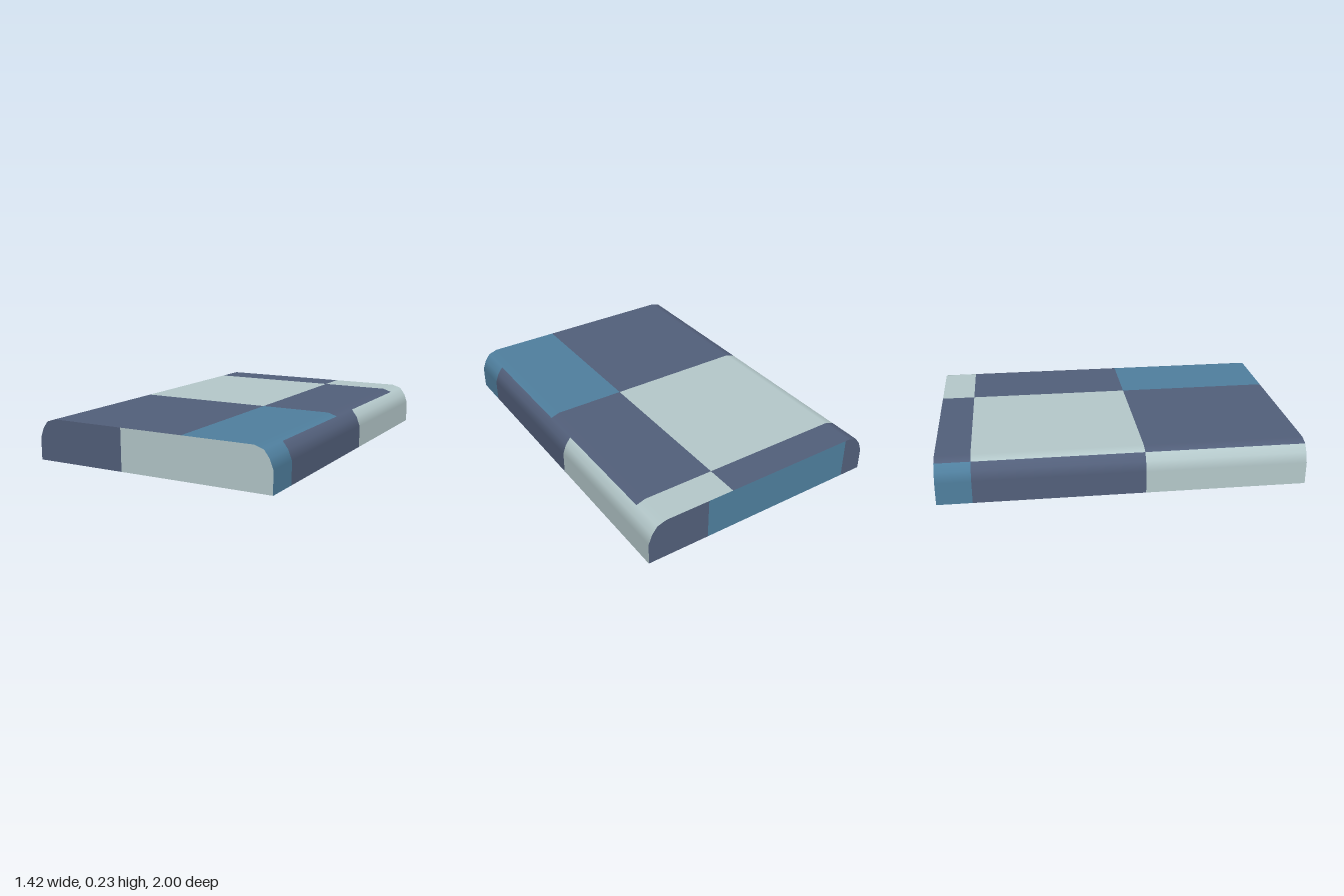
import * as THREE from 'three';

const H = 0.235; // slab height
const flat = (name, color) => {
  const m = new THREE.MeshStandardMaterial({ color });
  m.name = name;
  return m;
};

// Strip along z swept from cross-section points [x, y, normal angle in degrees]
function sweep(section, z0, z1) {
  const pos = [], nor = [], idx = [];
  section.forEach(([x, y, deg], i) => {
    const a = THREE.MathUtils.degToRad(deg);
    for (const z of [z0, z1]) {
      pos.push(x, y, z);
      nor.push(Math.cos(a), Math.sin(a), 0);
    }
    if (i > 0) {
      const k = (i - 1) * 2;
      idx.push(k, k + 2, k + 1, k + 1, k + 2, k + 3);
    }
  });
  const g = new THREE.BufferGeometry();
  g.setAttribute('position', new THREE.Float32BufferAttribute(pos, 3));
  g.setAttribute('normal', new THREE.Float32BufferAttribute(nor, 3));
  g.setIndex(idx);
  return g;
}

export function createModel() {
  const navy = flat('navy', 0x525f7a);
  const pale = flat('pale grey', 0xb4c8ca);
  const blue = flat('blue', 0x4f7f9e);

  const group = new THREE.Group();
  group.name = 'slab';
  const add = (name, geometry, material) => {
    const mesh = new THREE.Mesh(geometry, material);
    mesh.name = name;
    group.add(mesh);
    return mesh;
  };

  // Rounded shoulder, from the base up to the flat top
  const edge = [[0.71, 0, 0], [0.71, 0.125, 0], [0.69, 0.178, 30], [0.66, 0.218, 60], [0.607, H, 90]];
  const mirrored = edge.map(([x, y, a]) => [-x, y, 180 - a]).reverse();

  // Lengthwise strips, each divided into coloured tiles along z
  const topCuts = [-1, -0.81, 0.115, 1];
  const sideCuts = [-1, -0.115, 0.8, 1];
  const strips = [
    ['leftSide', edge.slice(0, 4), sideCuts, [pale, navy, blue]],
    ['topLeft', [...edge.slice(3), [0.2, H, 90]], topCuts, [pale, navy, blue]],
    ['topRight', [[0.2, H, 90], ...mirrored.slice(0, 2)], topCuts, [navy, pale, navy]],
    ['rightSide', mirrored.slice(1), topCuts, [blue, navy, pale]],
    ['baseRight', [[-0.71, 0, -90], [-0.26, 0, -90]], sideCuts, [blue, navy, pale]],
    ['baseMiddle', [[-0.26, 0, -90], [0.66, 0, -90]], sideCuts, [navy, blue, navy]],
    ['baseLeft', [[0.66, 0, -90], [0.71, 0, -90]], sideCuts, [pale, navy, blue]],
  ];
  for (const [name, section, cuts, colors] of strips) {
    colors.forEach((m, i) => add(`${name}Tile${i + 1}`, sweep(section, cuts[i], cuts[i + 1]), m));
  }

  // End faces, divided across x; the outer pieces follow the rounded shoulder
  function endPiece(x0, x1) {
    const pts = [[x0, 0], [x1, 0]];
    pts.push(...(x1 === 0.71 ? edge.slice(1) : [[x1, H]]));
    pts.push(...(x0 === -0.71 ? mirrored.slice(0, -1) : [[x0, H]]));
    return new THREE.ShapeGeometry(new THREE.Shape(pts.map(([x, y]) => new THREE.Vector2(x, y))));
  }
  const frontCuts = [-0.71, -0.17, 0.71];
  [navy, pale].forEach((m, i) => {
    add(`frontFace${i + 1}`, endPiece(frontCuts[i], frontCuts[i + 1]), m).position.z = 1;
  });
  // Back pieces are cut in mirrored x, then turned to face -z
  const backCuts = [-0.71, -0.35, 0.58, 0.71];
  [navy, blue, navy].forEach((m, i) => {
    const mesh = add(`backFace${i + 1}`, endPiece(backCuts[i], backCuts[i + 1]), m);
    mesh.rotation.y = Math.PI;
    mesh.position.z = -1;
  });

  return group;
}
